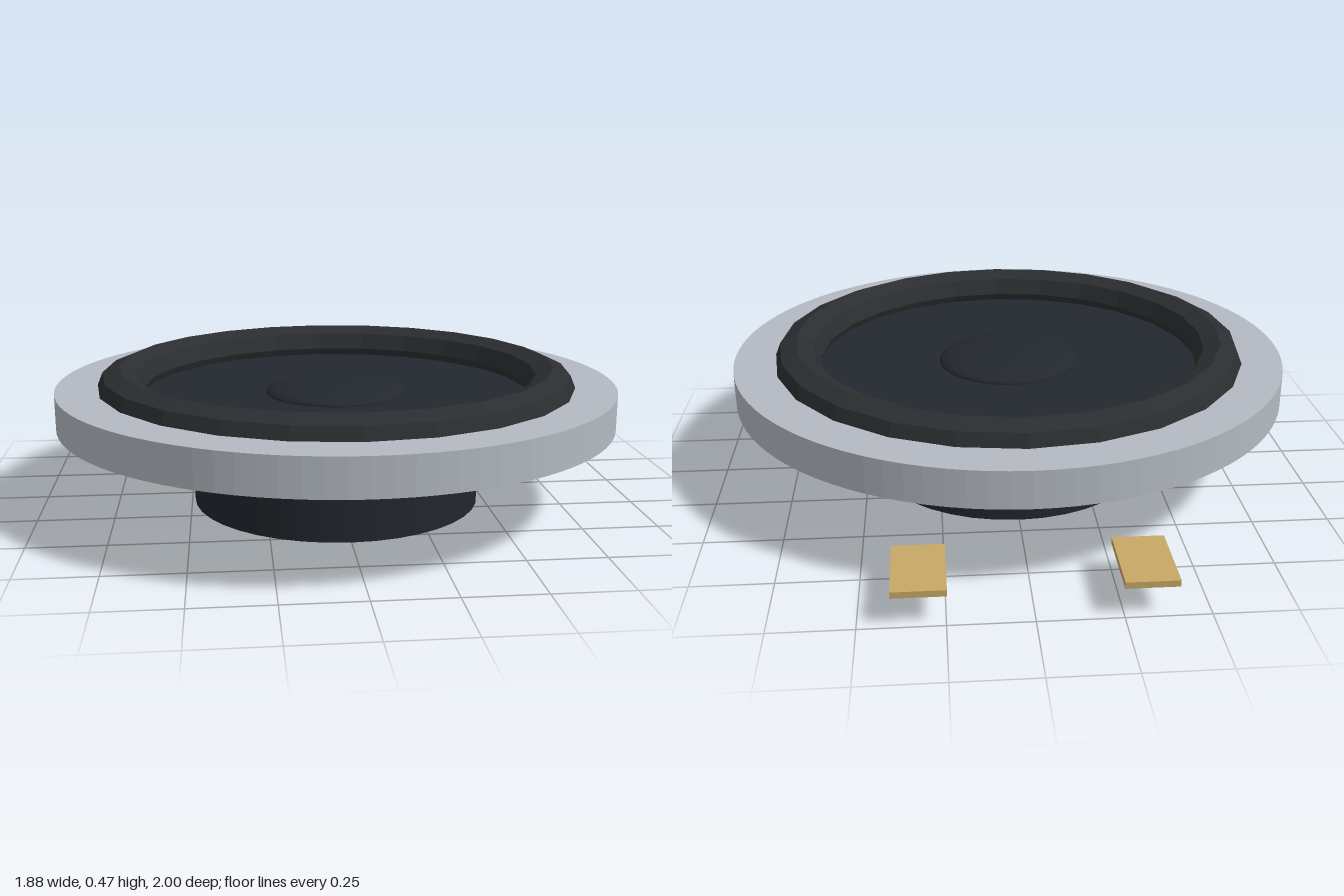
import * as THREE from 'three';

const material = (color, flatShading = false) =>
  new THREE.MeshStandardMaterial({ color, flatShading });

export function createModel() {
  const model = new THREE.Group();
  const driver = new THREE.Group();
  driver.name = 'driver';
  driver.position.z = 0.06;
  model.add(driver);

  const add = (parent, name, geometry, mat, x = 0, y = 0, z = 0) => {
    const mesh = new THREE.Mesh(geometry, mat);
    mesh.name = name;
    mesh.position.set(x, y, z);
    parent.add(mesh);
    return mesh;
  };

  const metal = material(0xb4bac2, true);
  const rubber = material(0x2b2d30, true);
  const paper = material(0x23282f);
  const magnetPaint = material(0x22262d);
  const brass = material(0xc8a865);

  // Mounting ring with a round hole
  const outline = new THREE.Shape().absarc(0, 0, 0.94, 0, Math.PI * 2, false);
  outline.holes.push(new THREE.Path().absarc(0, 0, 0.78, 0, Math.PI * 2, true));
  const ring = new THREE.ExtrudeGeometry(outline, { depth: 0.12, bevelEnabled: false, curveSegments: 48 });
  ring.rotateX(-Math.PI / 2);
  add(driver, 'mountingRing', ring, metal, 0, 0.29);

  // Faceted half-roll surround
  const surround = new THREE.TorusGeometry(0.73, 0.08, 8, 24);
  surround.rotateX(Math.PI / 2);
  add(driver, 'surround', surround, rubber, 0, 0.395);

  // Cone with a flat face, tapering down to the magnet
  add(driver, 'cone', new THREE.CylinderGeometry(0.72, 0.47, 0.12, 48), paper, 0, 0.31);

  // Shallow dust cap
  const cap = new THREE.SphereGeometry(0.24, 32, 10, 0, Math.PI * 2, 0, Math.PI / 2);
  cap.scale(1, 0.18, 1);
  add(driver, 'dustCap', cap, paper, 0, 0.37);

  // Magnet
  add(driver, 'magnet', new THREE.CylinderGeometry(0.49, 0.49, 0.26, 40), magnetPaint, 0, 0.13);

  // Pair of terminal tabs behind
  for (const [side, name] of [[1, 'leftTerminal'], [-1, 'rightTerminal']]) {
    add(model, name, new THREE.BoxGeometry(0.157, 0.02, 0.245), brass, side * 0.325, 0.105, -0.877);
  }

  return model;
}
